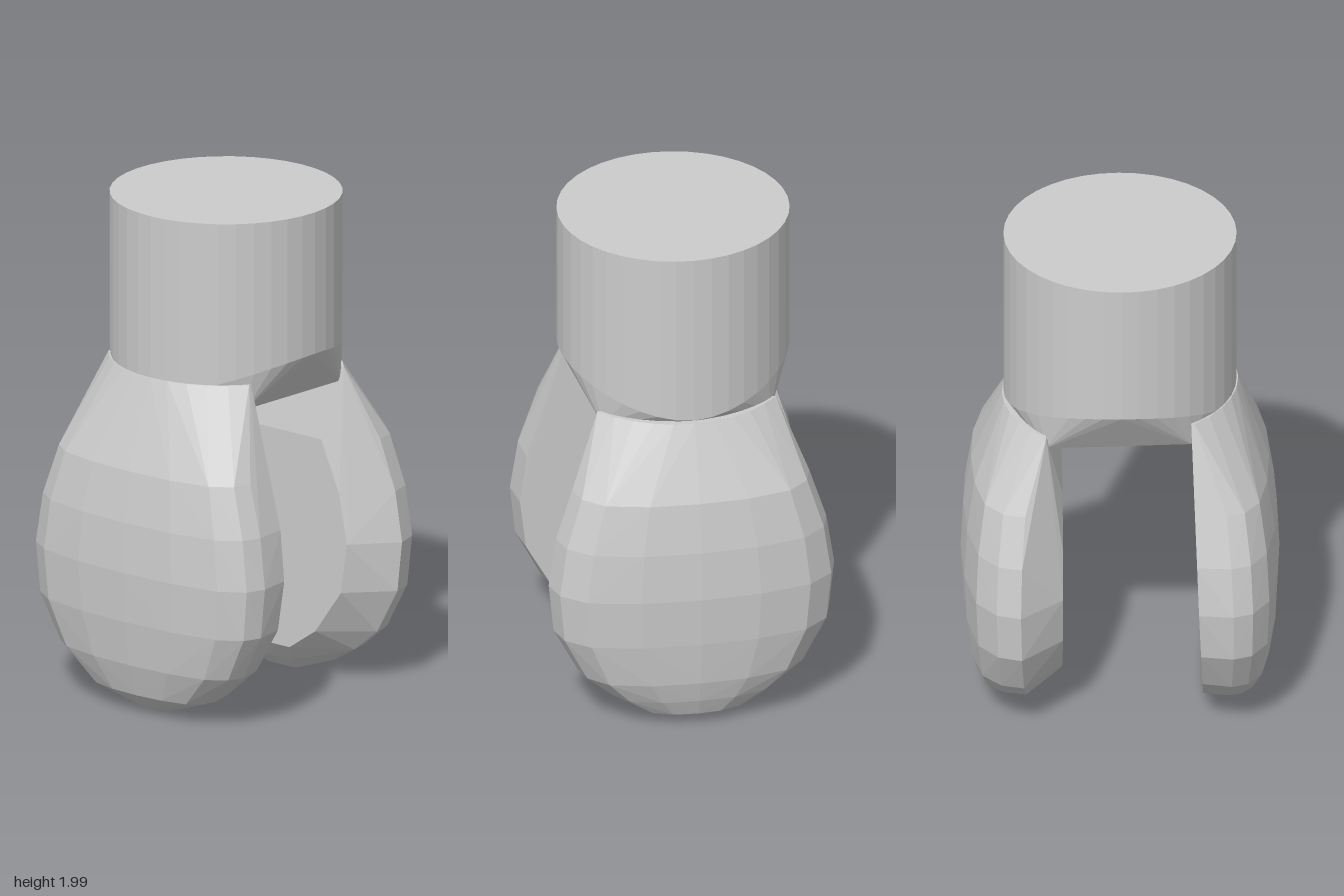
import * as THREE from 'three';
import { ConvexGeometry } from 'three/addons/geometries/ConvexGeometry.js';

const material = new THREE.MeshStandardMaterial({ color: 0xcccccc, flatShading: true });
const R = 0.45;

function hull(name, points) {
  const mesh = new THREE.Mesh(new ConvexGeometry(points), material);
  mesh.name = name;
  return mesh;
}

// Round post whose lower end tapers to a narrow flat between the paddles
function post() {
  const pts = [];
  const n = 40;
  for (let i = 0; i < n; i++) {
    const a = (i / n) * Math.PI * 2;
    const x = Math.cos(a) * R, z = Math.sin(a) * R;
    const t = Math.abs(x) / R;
    pts.push(new THREE.Vector3(x, 2, z));
    pts.push(new THREE.Vector3(x, 1.3 + 0.13 * Math.pow(t, 1.7), z));
  }
  for (const x of [-0.33, 0.33]) {
    pts.push(new THREE.Vector3(x, 1.245, 0.27), new THREE.Vector3(x, 1.23, -0.29));
  }
  return hull('post', pts);
}

// Across a layer: [fraction of half width, fraction of depth]
const section = [[1, 0.42], [0.95, 0.66], [0.78, 0.86], [0.42, 0.97], [0, 1]];

// Paddle: flat inside, domed outside; layers are [y, halfWidth, innerHalfWidth, innerZ, outerZ]
function paddle(name, sign, topY, topInner, topHalf, layers) {
  const pts = [];
  // Top edge follows the post
  const limit = Math.asin(topHalf / R);
  for (let i = -5; i <= 5; i++) {
    const a = (i / 5) * limit;
    pts.push(new THREE.Vector3(Math.sin(a) * R, topY, sign * (Math.cos(a) * R + 0.006)));
  }
  for (const s of [-1, 1]) {
    pts.push(new THREE.Vector3(s * topHalf, topY, sign * topInner));
    for (const [y, w, wi, zi, zo] of layers) {
      pts.push(new THREE.Vector3(s * wi, y, sign * zi));
      for (const [fx, fz] of section) {
        pts.push(new THREE.Vector3(s * w * fx, y, sign * (zi + (zo - zi) * fz)));
      }
    }
  }
  return hull(name, pts);
}

export function createModel() {
  const model = new THREE.Group();
  model.name = 'forkedPost';
  model.add(post());
  model.add(paddle('frontPaddle', 1, 1.35, 0.27, 0.355, [
    [1.0, 0.465, 0.45, 0.283, 0.575],
    [0.8, 0.53, 0.52, 0.291, 0.605],
    [0.6, 0.56, 0.545, 0.298, 0.615],
    [0.4, 0.54, 0.52, 0.306, 0.605],
    [0.22, 0.445, 0.42, 0.313, 0.58],
    [0.09, 0.29, 0.27, 0.318, 0.54],
    [0.01, 0.08, 0.07, 0.321, 0.45],
  ]));
  model.add(paddle('backPaddle', -1, 1.29, 0.29, 0.35, [
    [1.0, 0.465, 0.29, 0.225, 0.575],
    [0.8, 0.53, 0.38, 0.225, 0.605],
    [0.6, 0.56, 0.42, 0.225, 0.615],
    [0.4, 0.54, 0.39, 0.225, 0.605],
    [0.22, 0.445, 0.26, 0.225, 0.585],
    [0.13, 0.34, 0.13, 0.225, 0.56],
    [0.06, 0.22, 0.1, 0.28, 0.53],
    [0.01, 0.08, 0.07, 0.335, 0.46],
  ]));
  return model;
}
